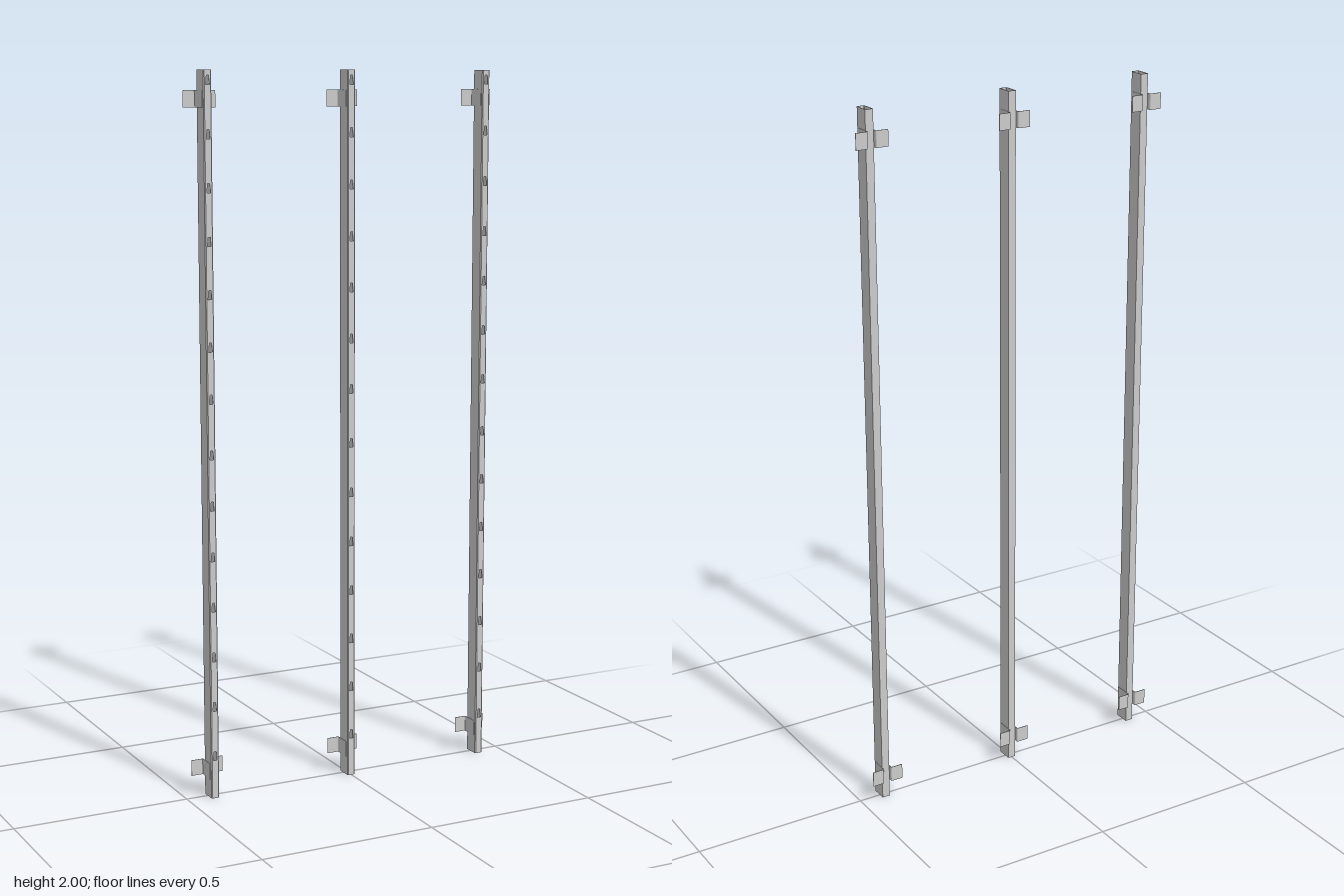
import * as THREE from 'three';

const material = new THREE.MeshStandardMaterial({ color: 0xcccccc, flatShading: true });

// Extrudes a plan shape (x, -z) upwards from y to y + height
function upright(name, shape, y, height) {
  const geometry = new THREE.ExtrudeGeometry(shape, { depth: height, bevelEnabled: false, curveSegments: 4 });
  geometry.rotateX(-Math.PI / 2).translate(0, y, 0);
  const mesh = new THREE.Mesh(geometry, material);
  mesh.name = name;
  return mesh;
}

// Hollow channel: sides, back and chamfered front corners
function createChannel() {
  const half = [
    [0.009, 0.029], [0.0115, 0.0265], [0.0115, -0.0175],
  ];
  const innerHalf = [
    [0.009, 0.0275], [0.01, 0.0265], [0.01, -0.016],
  ];
  const mirror = (points) => points.map(([x, z]) => [-x, z]);
  const outline = [
    ...half, ...mirror(half).reverse(),
    ...mirror(innerHalf), ...[...innerHalf].reverse(),
  ];
  const shape = new THREE.Shape(outline.map(([x, z]) => new THREE.Vector2(x, -z)));
  return upright('railChannel', shape, 0, 2);
}

// Front plate with a column of tapered slots
function createSlottedFront() {
  const w = 0.009;
  const shape = new THREE.Shape([[-w, 0], [w, 0], [w, 2], [-w, 2]].map((p) => new THREE.Vector2(...p)));
  for (let i = 0; i < 14; i++) {
    const y = 0.123 + i * 0.1415 + (i > 6 ? 0.011 : 0);
    const slot = [[-0.0055, -0.013], [-0.003, 0.012], [0.003, 0.012], [0.0055, -0.013]];
    shape.holes.push(new THREE.Path(slot.map(([sx, sy]) => new THREE.Vector2(sx, y + sy))));
  }
  const geometry = new THREE.ExtrudeGeometry(shape, { depth: 0.0015, bevelEnabled: false });
  const mesh = new THREE.Mesh(geometry.translate(0, 0, 0.0275), material);
  mesh.name = 'slottedFront';
  return mesh;
}

// Bent bracket half: a leg along the rail side and a flange behind it
function createBracket(side, y) {
  const shape = new THREE.Shape();
  shape.moveTo(side * 0.047, 0.0305);
  shape.lineTo(side * 0.016, 0.0305);
  shape.quadraticCurveTo(side * 0.0115, 0.0305, side * 0.0115, 0.026);
  shape.lineTo(side * 0.0115, -0.022);
  shape.lineTo(side * 0.013, -0.022);
  shape.lineTo(side * 0.013, 0.026);
  shape.quadraticCurveTo(side * 0.013, 0.029, side * 0.016, 0.029);
  shape.lineTo(side * 0.047, 0.029);
  shape.closePath();
  return upright(side > 0 ? 'leftBracket' : 'rightBracket', shape, y, 0.045);
}

export function createModel() {
  const model = new THREE.Group();
  model.name = 'mountingRails';
  [['rightRail', -0.425], ['middleRail', 0], ['leftRail', 0.425]].forEach(([name, x]) => {
    const rail = new THREE.Group();
    rail.name = name;
    rail.position.x = x;
    rail.add(createChannel(), createSlottedFront());
    // Pairs of wall brackets near the bottom and the top
    for (const y of [0.054, 1.901]) {
      for (const side of [-1, 1]) rail.add(createBracket(side, y));
    }
    model.add(rail);
  });
  return model;
}
